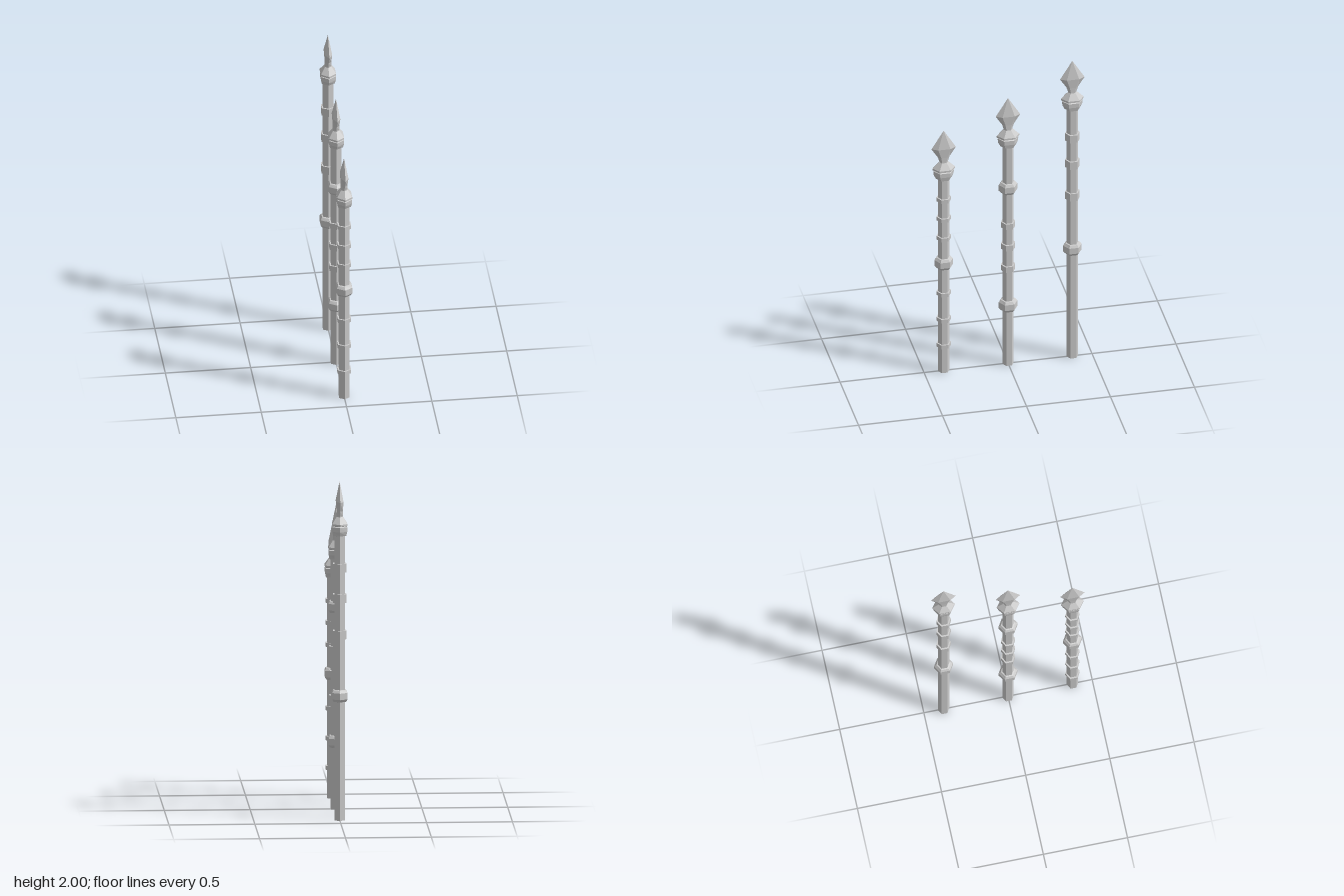
import * as THREE from 'three';

const material = new THREE.MeshStandardMaterial({ color: 0xcccccc, flatShading: true });
const COS30 = Math.cos(Math.PI / 6);

// Six-sided loft with corners on +-z; each section is [y, half width in x, half depth in z]
function hexLoft(name, sections) {
  const points = sections.map(([y, , hz]) => new THREE.Vector2(hz, y));
  const geometry = new THREE.LatheGeometry(points, 6);
  const pos = geometry.attributes.position;
  for (let i = 0; i < pos.count; i++) {
    const [, hx, hz] = sections[i % sections.length];
    if (hz > 0) pos.setX(i, pos.getX(i) * hx / (hz * COS30));
  }
  geometry.computeVertexNormals();
  const mesh = new THREE.Mesh(geometry, material);
  mesh.name = name;
  return mesh;
}

const SHAFT = [0.03, 0.034];

// Plain flat band around the shaft
function band(y, height) {
  const h = height / 2;
  return hexLoft('band', [
    [y - h, ...SHAFT], [y - h, 0.039, 0.043], [y + h, 0.039, 0.043], [y + h, ...SHAFT],
  ]);
}

// Large ring with bevelled edges
function ring(y) {
  return hexLoft('bevelledRing', [
    [y - 0.036, ...SHAFT], [y - 0.034, 0.037, 0.043], [y - 0.019, 0.045, 0.056],
    [y + 0.019, 0.045, 0.056], [y + 0.034, 0.037, 0.043], [y + 0.036, ...SHAFT],
  ]);
}

function spear(name, z, top, rings, bands, bandHeight) {
  const group = new THREE.Group();
  group.name = name;
  group.position.z = z;

  const shaftTop = top - 0.29;
  group.add(hexLoft('shaft', [[0, 0, 0], [0, ...SHAFT], [shaftTop, ...SHAFT], [shaftTop, 0, 0]]));
  rings.forEach((y) => group.add(ring(y)));
  bands.forEach((y) => group.add(band(y, bandHeight)));

  // Two-step collar flaring up to the blade neck
  const collar = hexLoft('collar', [
    [-0.322, ...SHAFT], [-0.32, 0.038, 0.046], [-0.295, 0.043, 0.059],
    [-0.268, 0.043, 0.062], [-0.264, 0.037, 0.052], [-0.26, 0.044, 0.067],
    [-0.249, 0.044, 0.067], [-0.21, 0.019, 0.028],
  ]);
  // Flattened diamond blade
  const blade = hexLoft('blade', [
    [-0.235, 0.02, 0.027], [-0.205, 0.018, 0.026], [-0.175, 0.018, 0.036],
    [-0.118, 0.021, 0.073], [0, 0, 0],
  ]);
  collar.position.y = blade.position.y = top;
  group.add(collar, blade);
  return group;
}

export function createModel() {
  const model = new THREE.Group();
  model.name = 'threeSpears';
  model.add(
    spear('shortSpear', 0.383, 1.625, [0.735], [0.18, 0.355, 0.53, 0.905, 1.035, 1.165], 0.024),
    spear('middleSpear', 0, 1.797, [0.4, 1.195], [0.655, 0.8, 0.945], 0.037),
    spear('tallSpear', -0.383, 2, [0.735], [1.095, 1.31, 1.49], 0.05),
  );
  return model;
}
